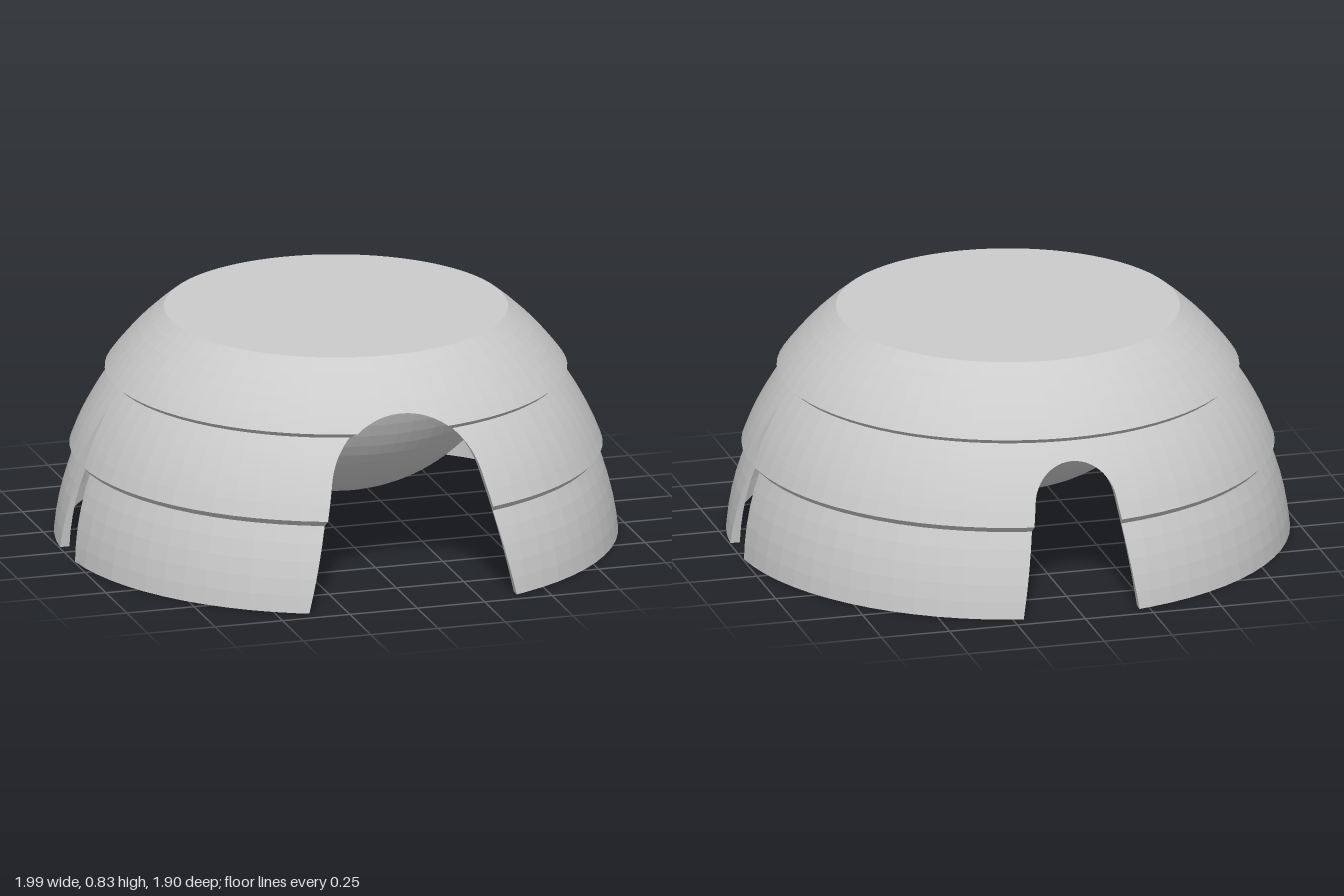
import * as THREE from 'three';

const SEGMENTS = 72;
const RIM_Y = 0.715;     // where the wall meets the bowl under the roof
const TOP_Y = 0.83;
const INNER_R = 0.965;   // inner sphere of the shell
const BOWL_R = 0.655;

// Three overlapping tiers: [bottom radius, bottom y, top radius, top y]
const TIERS = [
  [1, 0, 0.925, 0.303],
  [0.945, 0.325, 0.8, 0.592],
  [0.82, 0.61, 0.61, TOP_Y],
];

// Radius on an arc centred on the axis that runs through both tier ends
function arcRadius([r0, y0, r1, y1], y) {
  const c = (r1 * r1 + y1 * y1 - r0 * r0 - y0 * y0) / (2 * (y1 - y0));
  return Math.sqrt(r0 * r0 + (y0 - c) ** 2 - (y - c) ** 2);
}

function outerRadius(y) {
  for (let i = 0; i < TIERS.length; i++) {
    const t = TIERS[i];
    if (y <= t[3]) {
      if (y >= t[1]) return arcRadius(t, y);
      const p = TIERS[i - 1];   // sloping underside of the tier above
      return THREE.MathUtils.lerp(p[2], t[0], (y - p[3]) / (t[1] - p[3]));
    }
  }
  return TIERS[2][2];
}

const innerRadius = (y) => Math.sqrt(INNER_R * INNER_R - y * y);

// Half-width of each opening at height y
function archWidth(y, base, centre, radius, tangentY) {
  if (y >= centre + radius) return 0;
  if (y >= tangentY) return Math.sqrt(Math.max(0, radius * radius - (y - centre) ** 2));
  const w = Math.sqrt(radius * radius - (tangentY - centre) ** 2);
  return THREE.MathUtils.lerp(base, w, y / tangentY);
}
const frontDoor = (y) => archWidth(y, 0.385, 0.38, 0.285, 0.455);
const backDoor = (y) => archWidth(y, 0.213, 0.38, 0.15, 0.405);
const sideSlit = (y) => Math.max(0, 0.09 * (1 - y / 0.525));
const OPENINGS = [frontDoor, sideSlit, backDoor, sideSlit];

// Row heights: tier steps plus finer rows around the arches
function rowHeights() {
  const ys = [0.525, RIM_Y];
  for (const [, y0, , y1] of TIERS) {
    for (let i = 0; i <= 5; i++) ys.push(THREE.MathUtils.lerp(y0, y1, i / 5));
  }
  for (const [c, r, start] of [[0.38, 0.285, 0.455], [0.38, 0.15, 0.405]]) {
    const a0 = Math.asin((start - c) / r);
    for (let i = 0; i <= 12; i++) ys.push(c + r * Math.sin(THREE.MathUtils.lerp(a0, Math.PI / 2, i / 12)));
  }
  return ys.filter((y) => y <= RIM_Y).sort((a, b) => a - b)
    .filter((y, i, all) => i === 0 || y - all[i - 1] > 1e-6);
}

// One quarter of the wall, trimmed by the openings at either end
function wallQuarter(q) {
  const ys = rowHeights();
  const cols = SEGMENTS / 4;
  const left = OPENINGS[q], right = OPENINGS[(q + 1) % 4];
  const start = q * Math.PI / 2;
  const row = (y, r) => {
    const lo = start + Math.asin(left(y) / r);
    const hi = start + Math.PI / 2 - Math.asin(right(y) / r);
    return Array.from({ length: cols + 1 }, (_, j) => {
      let a = THREE.MathUtils.clamp(start + (j / cols) * Math.PI / 2, lo, hi);
      if (j === 0) a = lo;
      if (j === cols) a = hi;
      return new THREE.Vector3(r * Math.sin(a), y, r * Math.cos(a));
    });
  };
  const outer = ys.map((y) => row(y, outerRadius(y)));
  const inner = ys.map((y) => row(y, innerRadius(y)));

  const positions = [];
  const area = new THREE.Triangle();
  const tri = (a, b, c) => {
    if (area.set(a, b, c).getArea() < 1e-9) return;
    for (const p of [a, b, c]) positions.push(p.x, p.y, p.z);
  };
  const quad = (a, b, c, d) => { tri(a, b, c); tri(a, c, d); };

  for (let i = 0; i < ys.length - 1; i++) {
    const o = outer[i], o2 = outer[i + 1], n = inner[i], n2 = inner[i + 1];
    for (let j = 0; j < cols; j++) {
      quad(o[j], o[j + 1], o2[j + 1], o2[j]);
      quad(n[j + 1], n[j], n2[j], n2[j + 1]);
    }
    // Jambs of the openings
    if (left(ys[i]) > 0) quad(n[0], o[0], o2[0], n2[0]);
    if (right(ys[i]) > 0) quad(o[cols], n[cols], n2[cols], o2[cols]);
  }
  // Foot of the wall
  for (let j = 0; j < cols; j++) {
    quad(outer[0][j], inner[0][j], inner[0][j + 1], outer[0][j + 1]);
  }
  const geometry = new THREE.BufferGeometry();
  geometry.setAttribute('position', new THREE.Float32BufferAttribute(positions, 3));
  geometry.computeVertexNormals();
  return geometry;
}

export function createModel() {
  const group = new THREE.Group();
  group.name = 'dome';
  const material = new THREE.MeshStandardMaterial({ color: 0xcccccc, flatShading: true });
  const add = (name, geometry) => {
    const mesh = new THREE.Mesh(geometry, material);
    mesh.name = name;
    mesh.position.z = 0.027;
    group.add(mesh);
  };

  // Stepped wall in four quarters between the openings
  ['wallFrontLeft', 'wallBackLeft', 'wallBackRight', 'wallFrontRight']
    .forEach((name, q) => add(name, wallQuarter(q)));

  // Roof: upper part of the top tier and the flat disc
  const roof = [];
  for (let i = 0; i <= 3; i++) {
    const y = THREE.MathUtils.lerp(RIM_Y, TOP_Y, i / 3);
    roof.push(new THREE.Vector2(outerRadius(y), y));
  }
  roof.push(new THREE.Vector2(0, TOP_Y));
  add('roof', new THREE.LatheGeometry(roof, SEGMENTS));

  // Round bowl hanging below the roof
  const bowl = [];
  const end = Math.acos((TOP_Y - RIM_Y) / BOWL_R);
  for (let i = 0; i <= 18; i++) {
    const a = end * i / 18;
    bowl.push(new THREE.Vector2(BOWL_R * Math.sin(a), TOP_Y - BOWL_R * Math.cos(a)));
  }
  bowl.push(new THREE.Vector2(innerRadius(RIM_Y) + 0.01, RIM_Y));
  add('bowl', new THREE.LatheGeometry(bowl, SEGMENTS));

  return group;
}
